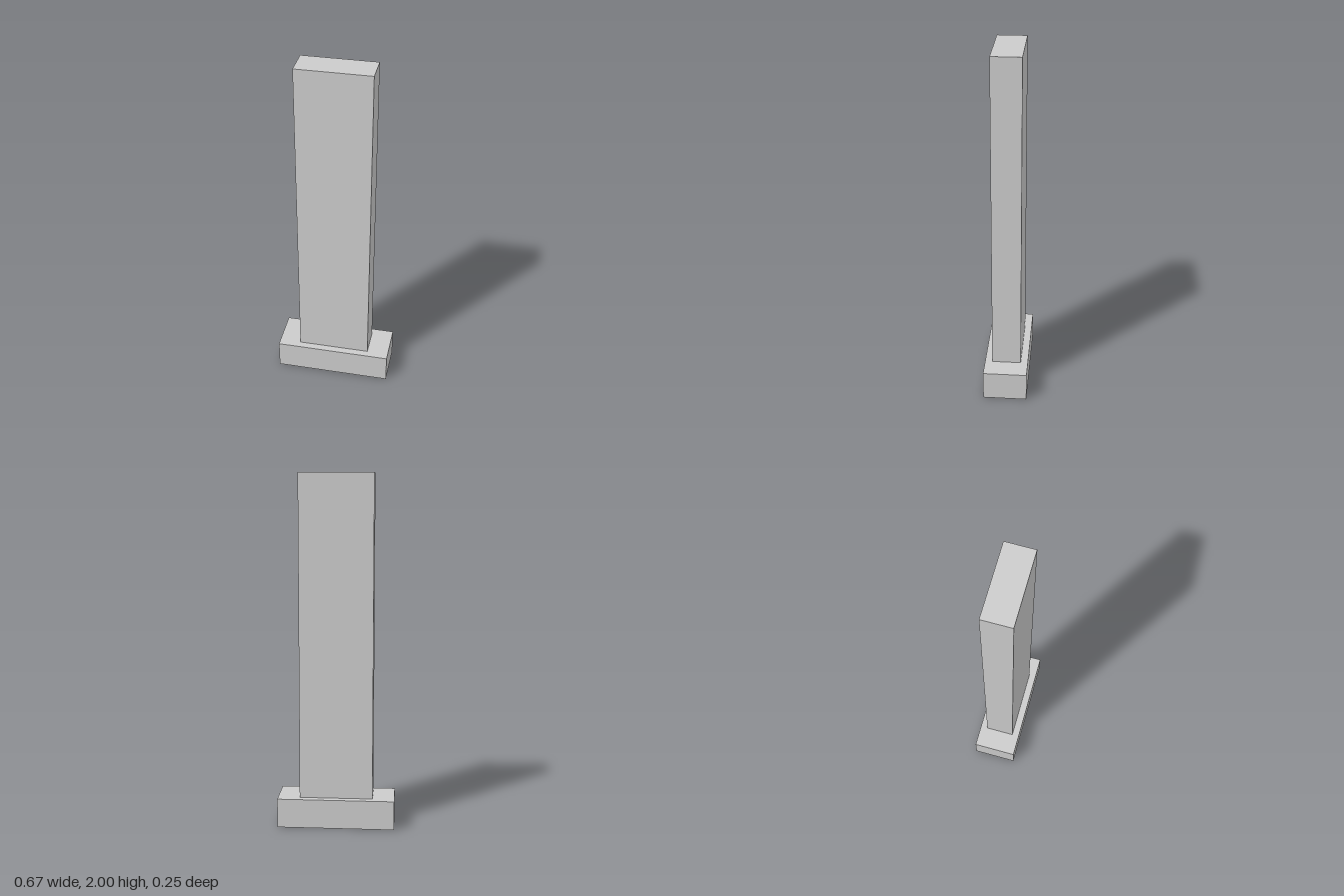
import * as THREE from 'three';

const material = new THREE.MeshStandardMaterial({ color: 0xcccccc });

// Box standing on the height `bottom`, centred on x and z
function block(name, width, height, depth, bottom) {
  const mesh = new THREE.Mesh(new THREE.BoxGeometry(width, height, depth), material);
  mesh.name = name;
  mesh.position.y = bottom + height / 2;
  return mesh;
}

export function createModel() {
  const group = new THREE.Group();
  group.name = 'standingSlab';
  const baseHeight = 1 / 6;

  // Low plinth
  group.add(block('base', 2 / 3, baseHeight, 0.25, 0));
  // Tall upright slab
  group.add(block('slab', 5 / 12, 2 - baseHeight, 1 / 6, baseHeight));

  return group;
}
